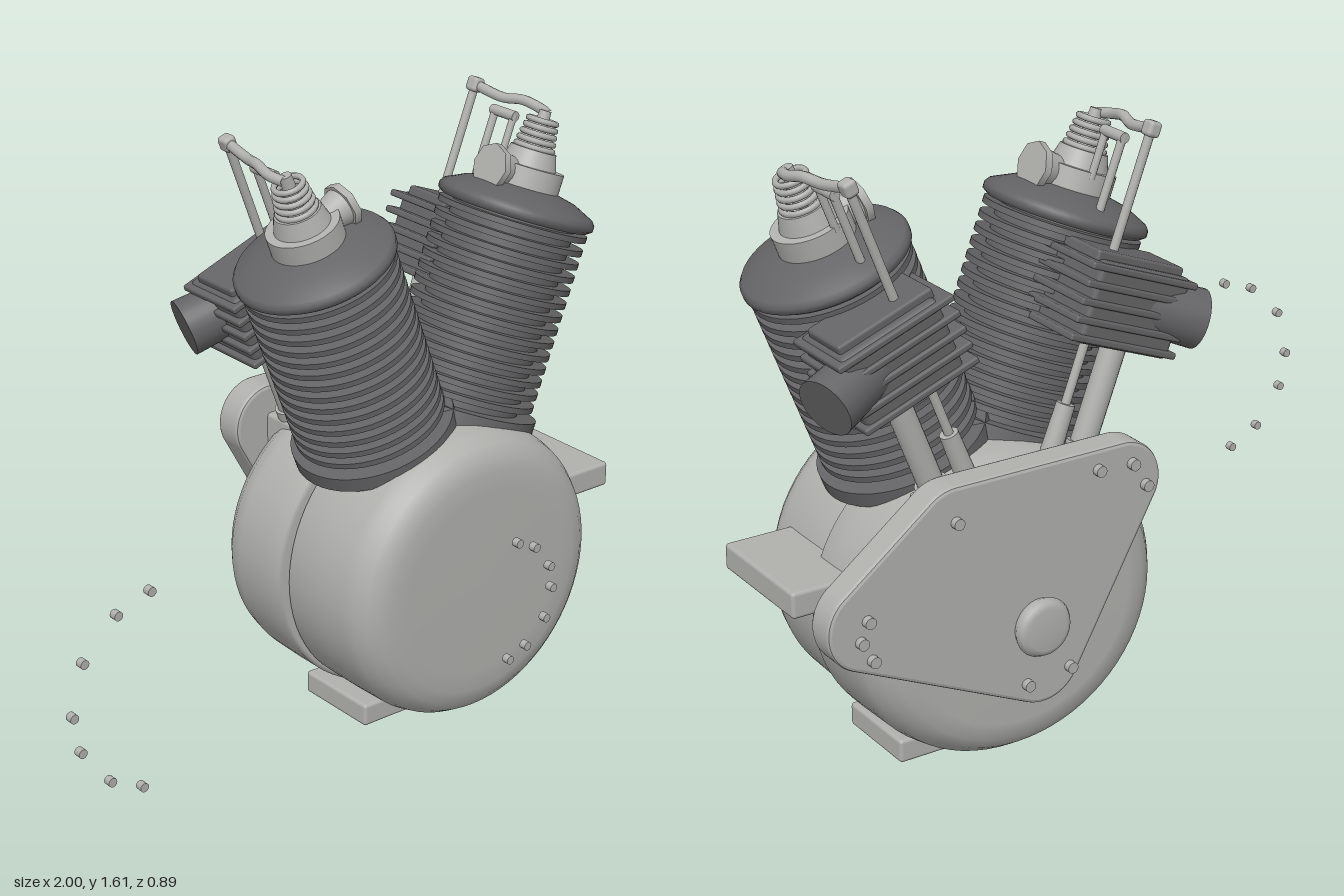
import * as THREE from 'three';
import { RoundedBoxGeometry } from 'three/addons/geometries/RoundedBoxGeometry.js';

const alloy = new THREE.MeshStandardMaterial({ color: 0xb0b0ad });
alloy.name = 'light alloy';
const iron = new THREE.MeshStandardMaterial({ color: 0x646466 });
iron.name = 'dark iron';

const CX = 0.407, CY = 0.44, TILT = 0.3665;
const V = (x, y, z) => new THREE.Vector3(x, y, z);

function add(parent, name, geometry, material, x = 0, y = 0, z = 0) {
  const mesh = new THREE.Mesh(geometry, material);
  mesh.name = name;
  mesh.position.set(x, y, z);
  parent.add(mesh);
  return mesh;
}

// round bar between two points, radius r1 at a and r2 at b
function rod(parent, name, a, b, r1, r2, material, sides = 20) {
  const d = b.clone().sub(a);
  const mid = a.clone().add(b).multiplyScalar(0.5);
  const mesh = add(parent, name, new THREE.CylinderGeometry(r2, r1, d.length(), sides), material, mid.x, mid.y, mid.z);
  mesh.quaternion.setFromUnitVectors(V(0, 1, 0), d.normalize());
  return mesh;
}

const box = (parent, name, w, h, d, material, x, y, z, r = 0.01) =>
  add(parent, name, new RoundedBoxGeometry(w, h, d, 2, r), material, x, y, z);

// half of the crankcase, turned about the z axis
function caseHalf(parent, name, profile, widen) {
  const points = profile.map(([r, z]) => new THREE.Vector2(r, z));
  const geometry = new THREE.LatheGeometry(points, 72).rotateX(Math.PI / 2);
  geometry.scale(widen, 1, 1);
  const mesh = add(parent, name, geometry, alloy, CX, 0.436, 0);
  return mesh;
}

// outline that wraps a set of circles [x, y, radius]
function wrapCircles(circles, steps) {
  const points = [];
  for (let i = 0; i < steps; i++) {
    const a = (i / steps) * Math.PI * 2, c = Math.cos(a), s = Math.sin(a);
    const best = circles.reduce((p, q) =>
      q[0] * c + q[1] * s + q[2] > p[0] * c + p[1] * s + p[2] ? q : p);
    points.push(new THREE.Vector2(best[0] + best[2] * c, best[1] + best[2] * s));
  }
  return new THREE.Shape(points);
}

// one cylinder; local y runs up the bore, s * local x points into the V
function buildCylinder(name, s) {
  const g = new THREE.Group();
  g.name = name;
  g.position.set(CX, CY, 0);
  g.rotation.z = s * TILT;
  const P = (x, y, z) => V(s * x, y, z);
  const up = (part, y0, y1, r0, r1, material) =>
    rod(g, part, P(0, y0, 0), P(0, y1, 0), r0, r1, material, 48);

  // finned barrel
  up('baseFlange', 0.375, 0.415, 0.222, 0.222, iron);
  up('barrel', 0.3, 0.95, 0.168, 0.168, iron);
  for (let i = 0; i < 14; i++) {
    const y = 0.445 + i * 0.0365;
    up('coolingFin', y - 0.008, y + 0.008, 0.205, 0.205, iron);
  }
  const dome = [[0.2, 0.935], [0.214, 0.945], [0.214, 0.96], [0.205, 0.972], [0.15, 0.998], [0.09, 1.012]];
  add(g, 'cylinderHead', new THREE.LatheGeometry(dome.map(p => new THREE.Vector2(...p)), 48), iron);

  // valve cage, inlet flare and spring
  up('valveCage', 0.99, 1.065, 0.098, 0.098, alloy);
  up('valveCageTop', 1.065, 1.11, 0.075, 0.062, alloy);
  rod(g, 'inletPort', P(0.03, 1.04, 0), P(0.125, 1.04, 0), 0.032, 0.052, alloy);
  rod(g, 'inletFlange', P(0.12, 1.04, 0), P(0.14, 1.04, 0), 0.062, 0.062, alloy, 8);
  for (let i = 0; i < 5; i++) {
    const ring = new THREE.TorusGeometry(0.05 - i * 0.003, 0.008, 8, 28).rotateX(Math.PI / 2);
    add(g, 'valveSpringCoil', ring, alloy, 0, 1.115 + i * 0.018, 0);
  }
  up('valveStem', 1.1, 1.215, 0.022, 0.016, alloy);

  // rocker arm and its stand
  const arm = new THREE.CatmullRomCurve3([
    P(-0.012, 1.205, 0.005), P(-0.02, 1.215, -0.04), P(-0.008, 1.222, -0.1),
    P(0.006, 1.212, -0.16), P(0.022, 1.222, -0.26)]);
  add(g, 'rockerArm', new THREE.TubeGeometry(arm, 28, 0.014, 10), alloy);
  box(g, 'rockerEnd', 0.036, 0.04, 0.04, alloy, s * 0.022, 1.222, -0.26);
  rod(g, 'rockerPost', P(0.02, 0.94, -0.16), P(0.02, 1.18, -0.16), 0.011, 0.011, alloy, 12);
  rod(g, 'rockerPost', P(0.02, 1.05, -0.088), P(0.02, 1.18, -0.088), 0.01, 0.01, alloy, 12);
  rod(g, 'rockerShaft', P(0.02, 1.175, -0.08), P(0.02, 1.175, -0.17), 0.014, 0.014, alloy, 12);

  // pushrod with tappet guide
  rod(g, 'pushrod', P(0.02, 0.4, -0.26), P(0.022, 1.21, -0.26), 0.012, 0.012, alloy, 12);
  rod(g, 'tappetGuide', P(0.02, 0.34, -0.26), P(0.02, 0.52, -0.26), 0.028, 0.024, alloy);

  // finned valve chest behind the barrel, with its outlet and lower tube
  box(g, 'valveChest', 0.28, 0.21, 0.2, iron, s * -0.045, 0.79, -0.235, 0.015);
  for (let i = 0; i < 5; i++) {
    box(g, 'chestFin', 0.33, 0.018, 0.22, iron, s * -0.035, 0.7 + i * 0.045, -0.235, 0.006);
  }
  box(g, 'chestLid', 0.27, 0.03, 0.15, iron, s * -0.035, 0.9, -0.235, 0.008);
  rod(g, 'outletPort', P(-0.08, 0.8, -0.26), P(-0.255, 0.8, -0.312), 0.07, 0.077, iron, 28);
  rod(g, 'valveTube', P(-0.07, 0.32, -0.258), P(-0.07, 0.72, -0.258), 0.033, 0.033, alloy);
  rod(g, 'valveTubeCollar', P(-0.07, 0.32, -0.258), P(-0.07, 0.43, -0.258), 0.042, 0.042, alloy);
  return g;
}

export function createModel() {
  const model = new THREE.Group();
  model.name = 'vTwinEngine';

  // crankcase
  caseHalf(model, 'frontCase', [
    [0.39, -0.03], [0.408, -0.02], [0.409, 0.1], [0.407, 0.2], [0.398, 0.235], [0.38, 0.265],
    [0.352, 0.287], [0.315, 0.296], [0.26, 0.299], [0, 0.3]], 1);
  caseHalf(model, 'rearCase', [
    [0, -0.32], [0.3, -0.32], [0.345, -0.312], [0.375, -0.29], [0.398, -0.255], [0.407, -0.21],
    [0.41, -0.1], [0.41, -0.035], [0.4, -0.028], [0.3, -0.028]], 1.055);
  box(model, 'baseFoot', 0.51, 0.064, 0.255, alloy, CX, 0.037, -0.012);
  box(model, 'sideLug', 0.24, 0.07, 0.35, alloy, 0.85, 0.547, -0.006);
  box(model, 'tappetBlock', 0.5, 0.26, 0.12, alloy, CX, 0.65, -0.265);

  // timing cover
  const outline = wrapCircles([[0.88, 0.56, 0.105], [0.64, 0.745, 0.105], [0.165, 0.75, 0.1], [0.4, 0.33, 0.1]], 96);
  const cover = new THREE.ExtrudeGeometry(outline, {
    depth: 0.065, bevelEnabled: true, bevelSize: 0.01, bevelThickness: 0.01, bevelSegments: 2 });
  add(model, 'timingCover', cover, alloy, 0, 0, -0.392);
  const boss = [[0, -0.44], [0.055, -0.44], [0.07, -0.432], [0.078, -0.418], [0.07, -0.398]];
  add(model, 'coverBoss', new THREE.LatheGeometry(boss.map(p => new THREE.Vector2(...p)), 36).rotateX(Math.PI / 2),
    alloy, CX + 0.005, 0.437, 0);

  // cover bolts, then two arcs of loose bolts in front
  const bolt = (name, x, y, z, r) => rod(model, name, V(x, y, z - 0.01), V(x, y, z + 0.01), r, r, alloy, 12);
  for (const [x, y] of [[0.644, 0.77], [0.24, 0.807], [0.14, 0.8], [0.1, 0.735], [0.45, 0.285],
    [0.325, 0.3], [0.89, 0.58], [0.91, 0.53], [0.88, 0.475]]) bolt('coverBolt', x, y, -0.41, 0.015);
  for (const [x, y] of [[0.39, 0.61], [0.45, 0.58], [0.505, 0.51], [0.515, 0.445], [0.495, 0.362],
    [0.43, 0.3], [0.37, 0.278], [-0.765, 0.835], [-0.86, 0.802], [-0.957, 0.708], [-0.99, 0.577],
    [-0.97, 0.478], [-0.89, 0.372], [-0.8, 0.325]]) bolt('looseBolt', x, y, 0.437, 0.012);

  model.add(buildCylinder('rightCylinder', 1), buildCylinder('leftCylinder', -1));
  return model;
}
